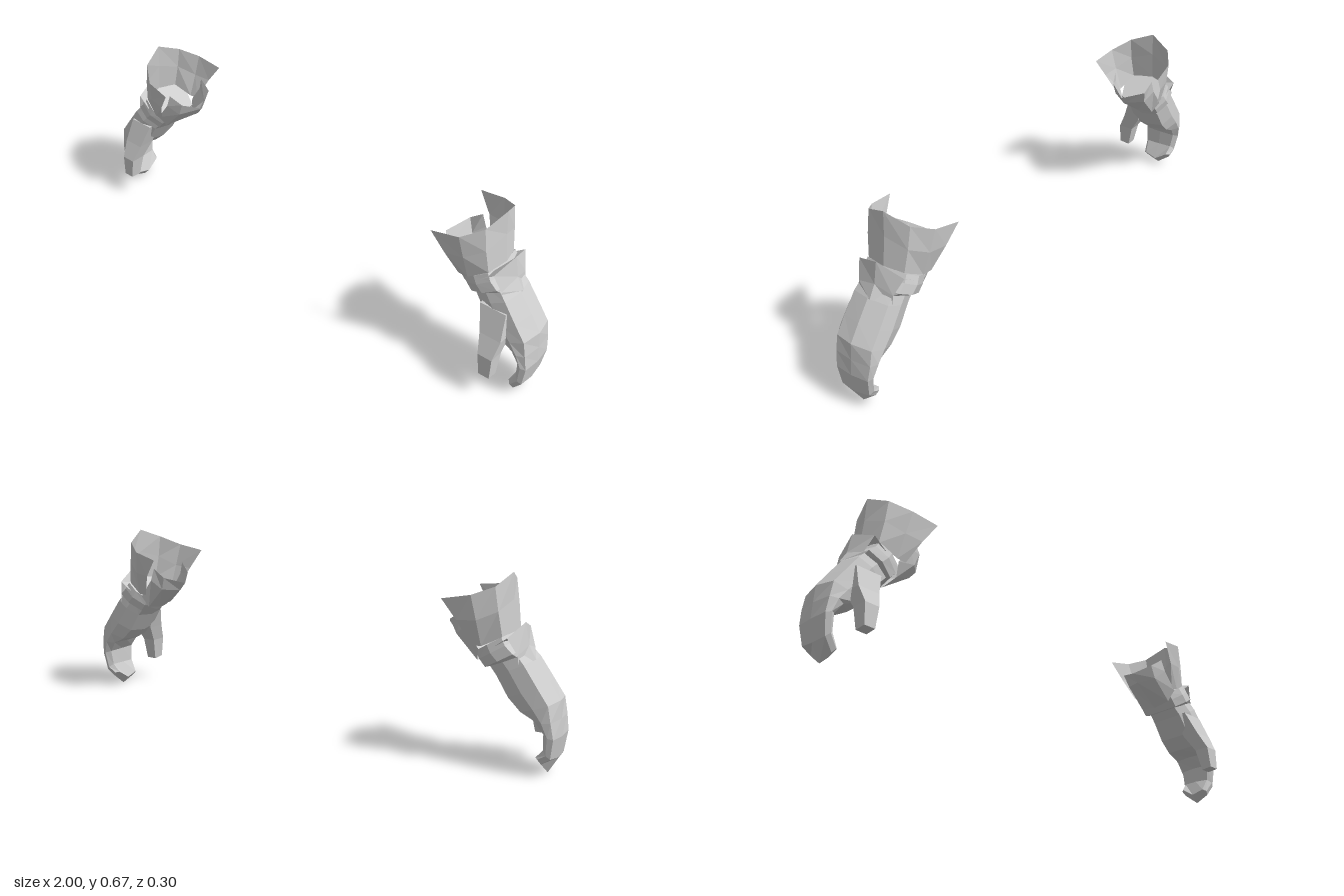
import * as THREE from 'three';

const cloth = new THREE.MeshStandardMaterial({ color: 0xcccccc, flatShading: true, side: THREE.DoubleSide });
cloth.name = 'light grey';

// Skin between rows of points; rows run down the arm, points run outer > front > inner > back.
function skin(name, rows, side, closed) {
  const pos = [];
  const tri = (a, b, c) => {
    for (const p of side > 0 ? [a, b, c] : [a, c, b]) pos.push(p[0] * side, p[1], p[2]);
  };
  const n = rows[0].length;
  for (let r = 0; r < rows.length - 1; r++) {
    const A = rows[r], B = rows[r + 1];
    for (let i = 0; i < (closed ? n : n - 1); i++) {
      const j = (i + 1) % n;
      tri(A[i], A[j], B[i]);
      tri(A[j], B[j], B[i]);
    }
  }
  if (closed) {
    const top = rows[0], end = rows[rows.length - 1];
    for (let i = 1; i < n - 1; i++) {
      tri(top[0], top[i + 1], top[i]);
      tri(end[0], end[i], end[i + 1]);
    }
  }
  const g = new THREE.BufferGeometry();
  g.setAttribute('position', new THREE.Float32BufferAttribute(pos, 3));
  g.computeVertexNormals();
  const mesh = new THREE.Mesh(g, cloth);
  mesh.name = name;
  return mesh;
}

// Eight-sided section between an outer and an inner point, with front and back reach.
// riseF and riseB lift the front and back corners to slant the section.
function ring([ox, oy], [ix, iy], zf, zb, riseF = 0, riseB = 0) {
  const shape = [[0, 0], [0.12, 0.88], [0.5, 1], [0.9, 0.8], [1, 0], [0.9, -0.8], [0.5, -1], [0.12, -0.88]];
  const mid = (zf + zb) / 2, half = (zf - zb) / 2;
  return shape.map(([t, w]) => [
    ox + (ix - ox) * t,
    oy + (iy - oy) * t + (w > 0 ? riseF * w : -riseB * w),
    mid + half * w,
  ]);
}

// Four-sided thumb section
const box = (x0, x1, y, z0, z1, lift = 0) =>
  [[x1, y, z0], [x1, y + lift, z1], [x0, y + lift, z1], [x0, y, z0]];

function glove(side) {
  const g = new THREE.Group();
  g.name = side > 0 ? 'leftGlove' : 'rightGlove';

  // Palm and joined fingers, curling inward at the tip
  g.add(skin('hand', [
    ring([0.85, 0.44], [0.735, 0.37], 0.07, -0.078),
    ring([0.9, 0.388], [0.775, 0.325], 0.082, -0.082),
    ring([0.95, 0.32], [0.82, 0.255], 0.085, -0.083),
    ring([0.99, 0.262], [0.865, 0.215], 0.086, -0.082),
    ring([0.995, 0.2], [0.92, 0.195], 0.086, -0.08),
    ring([1.0, 0.14], [0.953, 0.155], 0.082, -0.071),
    ring([0.988, 0.062], [0.952, 0.095], 0.076, -0.06, 0, 0.005),
    ring([0.955, 0.003], [0.926, 0.032], 0.068, -0.054, 0.02, 0.045),
  ], side, true));

  // Thumb hanging in front of the palm
  g.add(skin('thumb', [
    box(0.8, 0.9, 0.34, 0.03, 0.083),
    box(0.83, 0.912, 0.25, 0.05, 0.118),
    box(0.85, 0.905, 0.185, 0.09, 0.149),
    box(0.862, 0.904, 0.1, 0.109, 0.151, 0.004),
  ], side, true));

  // Wrist band
  g.add(skin('wristBand', [
    ring([0.825, 0.475], [0.705, 0.4], 0.086, -0.1),
    ring([0.84, 0.45], [0.722, 0.375], 0.091, -0.105),
    ring([0.868, 0.425], [0.742, 0.35], 0.09, -0.103),
    ring([0.875, 0.41], [0.752, 0.352], 0.072, -0.08),
  ], side, true));

  // Pointed guard standing off the back of the wrist
  g.add(skin('wristGuard', [
    [[0.79, 0.435, -0.1], [0.835, 0.45, -0.01], [0.79, 0.435, 0.086]],
    [[0.838, 0.47, -0.105], [0.86, 0.509, -0.01], [0.838, 0.475, 0.084]],
    [[0.865, 0.409, -0.077], [0.875, 0.433, -0.01], [0.865, 0.409, 0.068]],
    [[0.87, 0.37, -0.075], [0.902, 0.388, -0.01], [0.87, 0.37, 0.07]],
  ], side, false));

  // Flared cuff, open toward the body
  g.add(skin('flaredCuff', [
    [[0.62, 0.584, -0.15], [0.72, 0.605, -0.139], [0.785, 0.632, -0.095], [0.81, 0.67, -0.01],
      [0.785, 0.634, 0.077], [0.72, 0.6, 0.127], [0.62, 0.584, 0.139]],
    [[0.67, 0.515, -0.136], [0.735, 0.52, -0.125], [0.797, 0.55, -0.09], [0.815, 0.58, -0.01],
      [0.797, 0.55, 0.078], [0.735, 0.515, 0.113], [0.67, 0.507, 0.123]],
    [[0.71, 0.43, -0.104], [0.745, 0.43, -0.1], [0.81, 0.465, -0.08], [0.828, 0.475, -0.01],
      [0.81, 0.465, 0.07], [0.745, 0.425, 0.09], [0.71, 0.423, 0.09]],
  ], side, false));

  // Inner cuff tongue, facing the body
  g.add(skin('cuffTongue', [
    [[0.67, 0.538, 0.075], [0.625, 0.505, 0.056], [0.585, 0.476, -0.01], [0.625, 0.505, -0.09], [0.67, 0.538, -0.095]],
    [[0.685, 0.49, 0.08], [0.645, 0.455, 0.056], [0.612, 0.444, -0.01], [0.645, 0.455, -0.08], [0.685, 0.49, -0.098]],
    [[0.735, 0.42, 0.085], [0.722, 0.375, 0.06], [0.722, 0.365, -0.01], [0.722, 0.375, -0.075], [0.735, 0.42, -0.1]],
  ], side, false));
  return g;
}

export function createModel() {
  const model = new THREE.Group();
  model.name = 'gloves';
  model.add(glove(1), glove(-1));
  return model;
}
